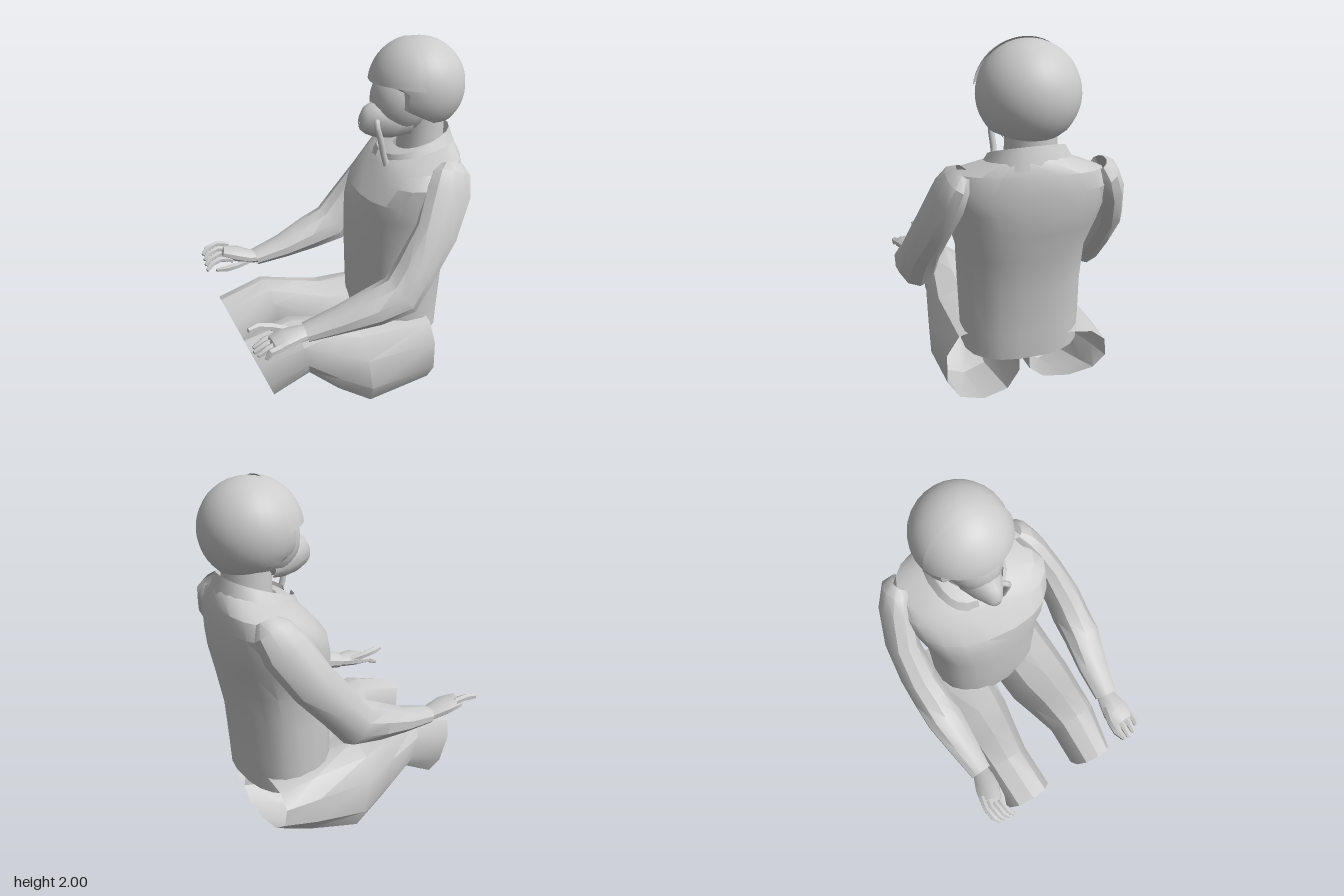
import * as THREE from 'three';
import { toCreasedNormals } from 'three/addons/utils/BufferGeometryUtils.js';
import { ParametricGeometry } from 'three/addons/geometries/ParametricGeometry.js';

const material = new THREE.MeshStandardMaterial({ color: 0xcccccc, side: THREE.DoubleSide });
const V = (x, y, z) => new THREE.Vector3(x, y, z);
const bend = (t, power) => Math.sign(t) * Math.abs(t) ** power;

function add(parent, name, geometry, crease = 0.6) {
  const mesh = new THREE.Mesh(toCreasedNormals(geometry, crease), material);
  mesh.name = name;
  parent.add(mesh);
  return mesh;
}

// Open skin through rings; each ring is { c, u, v }: centre and two half axes
function loft(rings, sides, power = 1) {
  const pos = [], index = [];
  rings.forEach(({ c, u, v }, i) => {
    for (let j = 0; j < sides; j++) {
      const a = ((j + 0.5) / sides) * Math.PI * 2;
      const p = c.clone().addScaledVector(u, bend(Math.cos(a), power)).addScaledVector(v, bend(Math.sin(a), power));
      pos.push(p.x, p.y, p.z);
      if (!i) continue;
      const k = (j + 1) % sides, lo = (i - 1) * sides, hi = i * sides;
      index.push(lo + j, lo + k, hi + k, lo + j, hi + k, hi + j);
    }
  });
  const g = new THREE.BufferGeometry();
  g.setAttribute('position', new THREE.Float32BufferAttribute(pos, 3));
  g.setIndex(index);
  return g;
}

// Limb along a path of [x, y, z, height radius, width radius]
function limb(path, sides) {
  const pts = path.map((p) => V(p[0], p[1], p[2]));
  return loft(path.map((p, i) => {
    const t = pts[Math.min(i + 1, pts.length - 1)].clone().sub(pts[Math.max(i - 1, 0)]).normalize();
    const side = V(0, 0, 1).addScaledVector(t, -t.z).normalize();
    const up = side.clone().cross(t).normalize();
    return { c: pts[i], u: side.multiplyScalar(p[4]), v: up.multiplyScalar(p[3]) };
  }), sides);
}

// Thigh from [top x, top y, bottom x, bottom y, z from, z to]
function thigh(rows) {
  return loft(rows.map(([tx, ty, bx, by, z0, z1]) => ({
    c: V((tx + bx) / 2, (ty + by) / 2, (z0 + z1) / 2),
    u: V(0, 0, (z1 - z0) / 2),
    v: V((tx - bx) / 2, (ty - by) / 2, 0),
  })), 10, 0.85);
}

function finger(parent, name, points, r) {
  const last = points.length - 1;
  const path = points.map((p, i) => [...p, i === last ? r * 0.6 : r, i === last ? r * 0.6 : r]);
  const [x, y, z] = points[last];
  path.push([x - 0.006, y - 0.002, z, 0.001, 0.001]);
  add(parent, name, limb(path, 6));
}

function buildTorso(g) {
  // y, x from, x to, z from, z to, twist, tilt
  const rows = [
    [0.38, 0.09, 0.54, -0.34, 0.285, 0, -0.01],
    [0.52, 0.07, 0.55, -0.345, 0.29, 0, 0],
    [0.75, 0.06, 0.565, -0.345, 0.3, 0, 0],
    [0.95, 0.055, 0.605, -0.35, 0.31, 0, 0],
    [1.1, 0.055, 0.645, -0.39, 0.35, 0.06, 0],
    [1.2, 0.075, 0.66, -0.41, 0.37, 0.1, 0],
    [1.3, 0.15, 0.66, -0.42, 0.39, 0.12, 0.01],
    [1.37, 0.2, 0.65, -0.38, 0.34, 0.12, 0.03],
    [1.42, 0.24, 0.625, -0.25, 0.21, 0.05, 0.04],
    [1.45, 0.32, 0.6, -0.15, 0.1, 0, 0.04],
  ];
  add(g, 'jacket', loft(rows.map(([y, x0, x1, z0, z1, k, tilt]) => ({
    c: V((x0 + x1) / 2, y, (z0 + z1) / 2),
    u: V((x1 - x0) / 2, tilt, 0),
    v: V(k * (z0 - z1) / 2, 0, (z1 - z0) / 2),
  })), 20, 0.84), 0.5);

  const neck = new THREE.CylinderGeometry(0.125, 0.13, 0.26, 14, 1, true);
  add(g, 'neck', neck).position.set(0.465, 1.51, -0.025);

  // Folded collar, open at the throat, rising towards the back, with pointed ends
  const collar = new ParametricGeometry((u, v, out) => {
    const a = (u - 0.5) * 2 * (Math.PI - 0.15);
    const flare = Math.max(0, v * 2 - 1), inside = Math.max(0, 1 - v * 2);
    const cx = bend(Math.cos(a), 0.8), cz = bend(Math.sin(a), 0.8);
    const top = 1.465 + 0.068 * cx;
    const tip = Math.max(0, Math.abs(a) - 2.2) * 0.05;
    const dip = 0.03 * Math.max(0, Math.cos(a * 1.2));
    out.set(0.415 + (0.185 + 0.038 * flare - 0.02 * inside) * cx,
      top - 0.06 * inside - (0.08 + tip + dip) * flare,
      -0.02 + (0.18 + 0.05 * flare - 0.02 * inside) * cz);
  }, 20, 4);
  add(g, 'collar', collar);
}

function buildHead(g) {
  // Helmet: ball cut at the face opening and along a rising lower edge
  const shell = new THREE.SphereGeometry(0.25, 28, 22);
  const p = shell.attributes.position;
  for (let i = 0; i < p.count; i++) {
    if (p.getY(i) < 0.02) p.setX(i, Math.max(p.getX(i), -0.15));
    const x = p.getX(i);
    p.setY(i, Math.max(p.getY(i), -0.165 - x * (x < 0 ? 0.5 : 0.15)));
  }
  add(g, 'helmet', shell).position.set(0.438, 1.745, -0.02);

  // Raised visor cover over the forehead
  const visor = new THREE.SphereGeometry(0.258, 24, 12, 0.06, Math.PI - 0.12, 0, 1.28);
  visor.applyMatrix4(new THREE.Matrix4().set(0, -1, 0, 0, 0, 0, 1, 0, -1, 0, 0, 0, 0, 0, 0, 1));
  visor.rotateZ(-0.13);
  add(g, 'visorCover', visor).position.set(0.425, 1.742, -0.02);

  const face = new THREE.SphereGeometry(1, 18, 14);
  face.scale(0.17, 0.19, 0.155);
  add(g, 'face', face).position.set(0.34, 1.68, -0.02);

  // Breathing mask: x, y, height radius, width radius
  const rows = [
    [0.1, 1.57, 0.005, 0.005], [0.103, 1.57, 0.04, 0.025], [0.13, 1.58, 0.075, 0.05],
    [0.19, 1.58, 0.1, 0.085], [0.27, 1.57, 0.1, 0.115], [0.36, 1.56, 0.08, 0.12],
  ];
  add(g, 'mask', loft(rows.map(([x, y, h, w]) => ({ c: V(x, y, -0.02), u: V(0, 0, w), v: V(0, h, 0) })), 12), 0.8);

  const hosePath = new THREE.CatmullRomCurve3([
    V(0.18, 1.59, 0.03), V(0.158, 1.575, 0.07), V(0.175, 1.5, 0.08), V(0.195, 1.42, 0.075), V(0.225, 1.31, 0.08)]);
  add(g, 'hose', new THREE.TubeGeometry(hosePath, 16, 0.016, 8), 1);
}

function buildArms(g) {
  add(g, 'leftSleeve', limb([
    [0.475, 1.4, 0.31, 0.06, 0.04], [0.465, 1.36, 0.335, 0.11, 0.065], [0.43, 1.27, 0.37, 0.135, 0.08],
    [0.335, 1.085, 0.43, 0.125, 0.085], [0.2, 0.91, 0.465, 0.115, 0.1], [0.115, 0.79, 0.475, 0.125, 0.105],
    [-0.03, 0.75, 0.465, 0.1, 0.105], [-0.2, 0.695, 0.43, 0.068, 0.088], [-0.385, 0.65, 0.405, 0.045, 0.067],
  ], 10));
  add(g, 'rightSleeve', limb([
    [0.535, 1.4, -0.35, 0.06, 0.04], [0.53, 1.36, -0.38, 0.1, 0.07], [0.485, 1.27, -0.42, 0.125, 0.085],
    [0.37, 1.085, -0.475, 0.12, 0.09], [0.22, 0.91, -0.485, 0.115, 0.1], [0.115, 0.79, -0.475, 0.125, 0.108],
    [-0.03, 0.75, -0.475, 0.1, 0.105], [-0.2, 0.7, -0.465, 0.068, 0.085], [-0.385, 0.665, -0.455, 0.045, 0.062],
  ], 10));
}

function buildHands(g) {
  const left = new THREE.Group();
  left.name = 'leftHand';
  add(left, 'palm', limb([
    [-0.36, 0.65, 0.405, 0.034, 0.048], [-0.42, 0.645, 0.4, 0.038, 0.062], [-0.49, 0.64, 0.4, 0.04, 0.08],
    [-0.56, 0.625, 0.405, 0.028, 0.075], [-0.58, 0.62, 0.405, 0.002, 0.05],
  ], 10));
  for (let i = 0; i < 4; i++) {
    const z = 0.348 + i * 0.038, reach = [0, 0.01, 0, -0.03][i];
    finger(left, 'finger', [[-0.53, 0.63, z], [-0.59, 0.62, z + 0.004], [-0.645 - reach, 0.59, z + 0.003]], 0.021);
  }
  finger(left, 'thumb', [[-0.45, 0.65, 0.36], [-0.54, 0.675, 0.328], [-0.61, 0.69, 0.32], [-0.665, 0.69, 0.335]], 0.022);

  const right = new THREE.Group();
  right.name = 'rightHand';
  add(right, 'palm', limb([
    [-0.36, 0.665, -0.455, 0.034, 0.042], [-0.42, 0.675, -0.46, 0.038, 0.058], [-0.49, 0.7, -0.475, 0.04, 0.07],
    [-0.56, 0.72, -0.498, 0.028, 0.06], [-0.575, 0.72, -0.5, 0.002, 0.045],
  ], 10));
  for (let i = 0; i < 4; i++) {
    const z = -0.54 + i * 0.03, y = 0.75 - i * 0.02;
    finger(right, 'finger', [[-0.52, y - 0.01, z + 0.008], [-0.59, y + 0.002, z - 0.005],
      [-0.65, y - 0.015, z + 0.005], [-0.68, y - 0.04, z + 0.025]], 0.018);
  }
  finger(right, 'thumb', [[-0.42, 0.66, -0.435], [-0.5, 0.645, -0.425], [-0.56, 0.635, -0.43], [-0.62, 0.63, -0.445]], 0.02);
  g.add(left, right);
}

function buildLegs(g) {
  add(g, 'leftThigh', thigh([
    [-0.65, 0.53, -0.51, 0.165, 0.07, 0.3], [-0.39, 0.6, -0.32, 0.28, 0.06, 0.34],
    [-0.2, 0.56, -0.16, 0.13, 0.04, 0.37], [-0.04, 0.52, 0.03, 0, 0.01, 0.4], [0.39, 0.505, 0.39, 0.06, -0.02, 0.4],
  ]));
  add(g, 'rightThigh', thigh([
    [-0.65, 0.53, -0.51, 0.165, -0.41, -0.13], [-0.39, 0.6, -0.32, 0.28, -0.42, -0.14],
    [-0.2, 0.56, -0.16, 0.13, -0.43, -0.1], [-0.04, 0.52, 0.03, 0.01, -0.46, -0.06],
    [0.3, 0.5, 0.35, 0.13, -0.47, -0.03], [0.5, 0.46, 0.54, 0.22, -0.46, -0.01],
  ]));
}

export function createModel() {
  const model = new THREE.Group();
  model.name = 'seatedPilot';
  for (const build of [buildTorso, buildHead, buildArms, buildHands, buildLegs]) build(model);
  return model;
}
